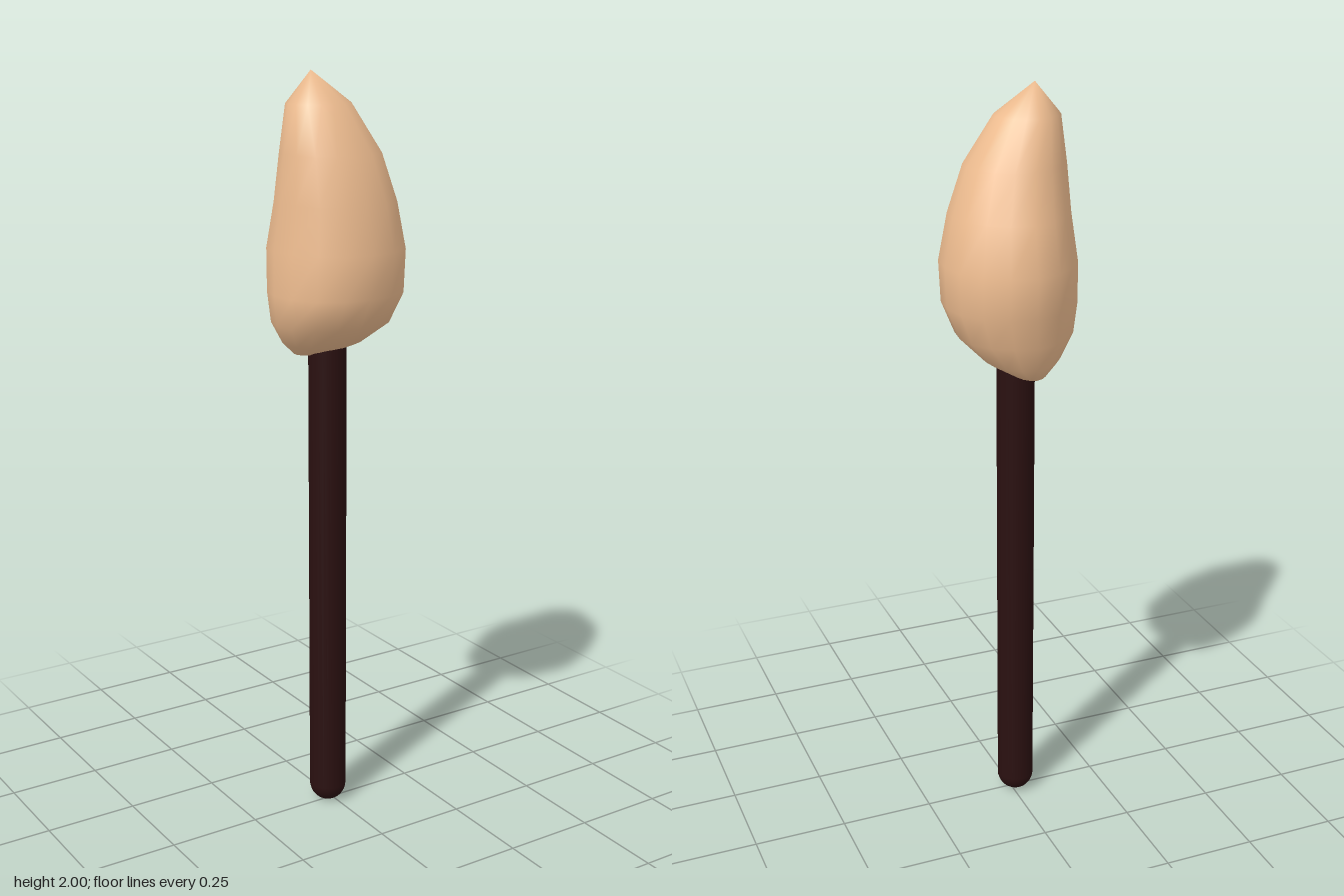
import * as THREE from 'three';

const SIDES = 16;

// Bud cross-sections from bottom to top: [y, xMin, xMax, zMin, zMax, tilt]
const SECTIONS = [
  [1.28, -0.075, 0.015, -0.105, 0.0, 0.1],
  [1.31, -0.12, 0.08, -0.13, 0.075, 0.04],
  [1.37, -0.165, 0.14, -0.152, 0.15, 0],
  [1.45, -0.178, 0.17, -0.168, 0.185, 0],
  [1.56, -0.172, 0.177, -0.185, 0.185, 0],
  [1.68, -0.16, 0.15, -0.145, 0.17, 0],
  [1.8, -0.153, 0.108, -0.105, 0.145, 0],
  [1.92, -0.135, 0.035, -0.065, 0.088, 0],
];
const BOTTOM = [-0.03, 1.27, -0.08];
const TIP = [-0.065, 2, 0.005];

// How full each diagonal is compared with an ellipse
function fullness(c, s) {
  const amount = s > 0 ? 0.055 : c < 0 ? -0.06 : 0;
  return 1 + amount * (2 * c * s) ** 2;
}

// Closed skin: rings of vertices with a pole at each end
function budGeometry() {
  const positions = [];
  const index = [];
  for (const [y, x0, x1, z0, z1, tilt] of SECTIONS) {
    for (let i = 0; i < SIDES; i++) {
      const a = (i / SIDES) * Math.PI * 2;
      const c = Math.cos(a), s = Math.sin(a), f = fullness(c, s);
      const x = (x0 + x1) / 2 + c * f * (x1 - x0) / 2;
      const z = (z0 + z1) / 2 + s * f * (z1 - z0) / 2;
      positions.push(x, y + tilt * z, z);
    }
  }
  const bottom = SECTIONS.length * SIDES, tip = bottom + 1;
  positions.push(...BOTTOM, ...TIP);
  const last = (SECTIONS.length - 1) * SIDES;
  for (let i = 0; i < SIDES; i++) {
    const j = (i + 1) % SIDES;
    index.push(bottom, i, j, tip, last + j, last + i);
    for (let r = 0; r < last; r += SIDES) {
      index.push(r + i, r + SIDES + i, r + j);
      index.push(r + j, r + SIDES + i, r + SIDES + j);
    }
  }
  const geometry = new THREE.BufferGeometry();
  geometry.setAttribute('position', new THREE.Float32BufferAttribute(positions, 3));
  geometry.setIndex(index);
  geometry.computeVertexNormals();
  return geometry;
}

export function createModel() {
  const model = new THREE.Group();

  // Pointed, slightly lopsided head
  const head = new THREE.Mesh(budGeometry(), new THREE.MeshStandardMaterial({ color: 0xf0be91 }));
  head.name = 'head';

  // Round-ended stick running up into the head
  const radius = 0.05, height = 1.36;
  const stick = new THREE.Mesh(
    new THREE.CapsuleGeometry(radius, height - 2 * radius, 8, 24),
    new THREE.MeshStandardMaterial({ color: 0x2a1010 })
  );
  stick.position.set(-0.012, height / 2, -0.003);
  stick.name = 'stick';

  model.add(head, stick);
  return model;
}
